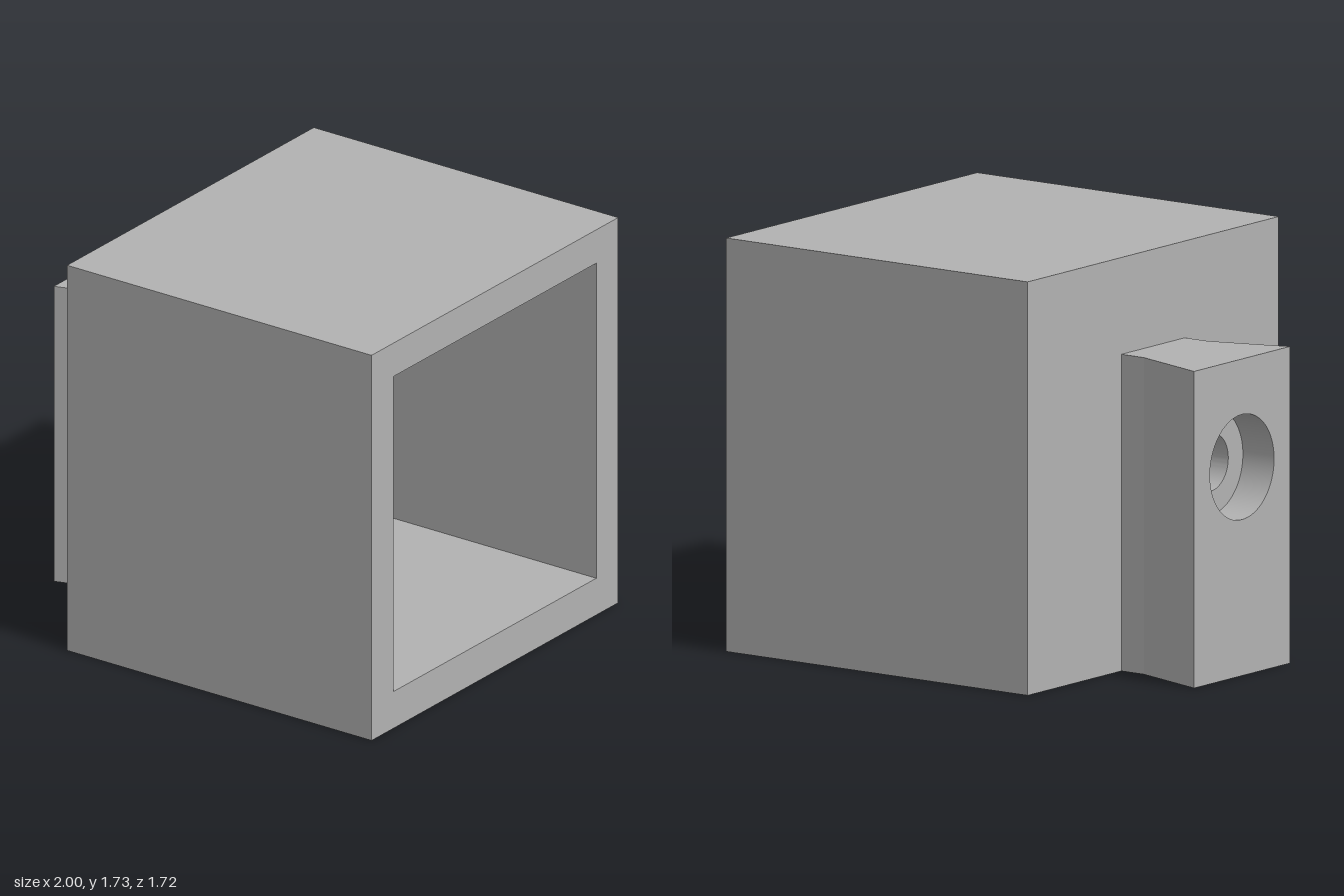
import * as THREE from 'three';
import { mergeGeometries, toCreasedNormals } from 'three/addons/utils/BufferGeometryUtils.js';

const HOLE_Y = 0.873;

function rectangle(target, halfZ, y0, y1) {
  target.moveTo(-halfZ, y0);
  target.lineTo(halfZ, y0);
  target.lineTo(halfZ, y1);
  target.lineTo(-halfZ, y1);
  target.closePath();
  return target;
}

function circle(radius) {
  return new THREE.Path().absarc(0, HOLE_Y, radius, 0, Math.PI * 2, true);
}

// Extrudes a rectangle with one hole along x, leaving out hidden end faces
function segment(halfZ, height, hole, x0, x1, dropEnds = []) {
  const shape = rectangle(new THREE.Shape(), halfZ, 0, height);
  shape.holes.push(hole);
  const solid = new THREE.ExtrudeGeometry(shape, { depth: x1 - x0, bevelEnabled: false, curveSegments: 56 });
  solid.rotateY(Math.PI / 2).translate(x0, 0, 0);
  const p = solid.attributes.position;
  const kept = [];
  for (let i = 0; i < p.count; i += 3) {
    const hidden = dropEnds.some((x) => [0, 1, 2].every((k) => Math.abs(p.getX(i + k) - x) < 1e-4));
    if (hidden) continue;
    for (let k = 0; k < 3; k++) kept.push(p.getX(i + k), p.getY(i + k), p.getZ(i + k));
  }
  const geometry = new THREE.BufferGeometry();
  geometry.setAttribute('position', new THREE.Float32BufferAttribute(kept, 3));
  geometry.computeVertexNormals();
  return geometry;
}

export function createModel() {
  const group = new THREE.Group();
  const grey = new THREE.MeshStandardMaterial({ color: 0xb2b2b2 });
  grey.name = 'plain grey';

  const add = (name, parts) => {
    const mesh = new THREE.Mesh(toCreasedNormals(mergeGeometries(parts), 0.5), grey);
    mesh.name = name;
    group.add(mesh);
  };

  // Box walls, open towards +x
  const opening = rectangle(new THREE.Path(), 0.707, 0.165, 1.58);
  add('boxWalls', [segment(0.86, 1.73, opening, -0.39, 1, [-0.39])]);

  // Closed end of the box with the through hole
  add('boxEndWall', [segment(0.86, 1.73, circle(0.12), -0.545, -0.39)]);

  // Dovetail mount: counterbored mouth, tapered body and straight neck
  const outline = 0.3;
  const mount = [
    segment(outline, 1.325, circle(0.22), -1, -0.84, [-0.84]),
    segment(outline, 1.325, circle(0.12), -0.84, -0.66, [-0.66]),
    segment(outline, 1.325, circle(0.12), -0.66, -0.545, [-0.66, -0.545]),
  ];
  // Flare the outer sides towards the free end
  for (const geometry of mount) {
    const p = geometry.attributes.position;
    for (let i = 0; i < p.count; i++) {
      const z = p.getZ(i);
      if (Math.abs(z) < outline - 1e-4) continue;
      const flare = Math.max(0, (-0.66 - p.getX(i)) / 0.34);
      p.setZ(i, Math.sign(z) * (0.218 + 0.11 * flare));
    }
  }
  add('dovetailMount', mount);

  return group;
}
